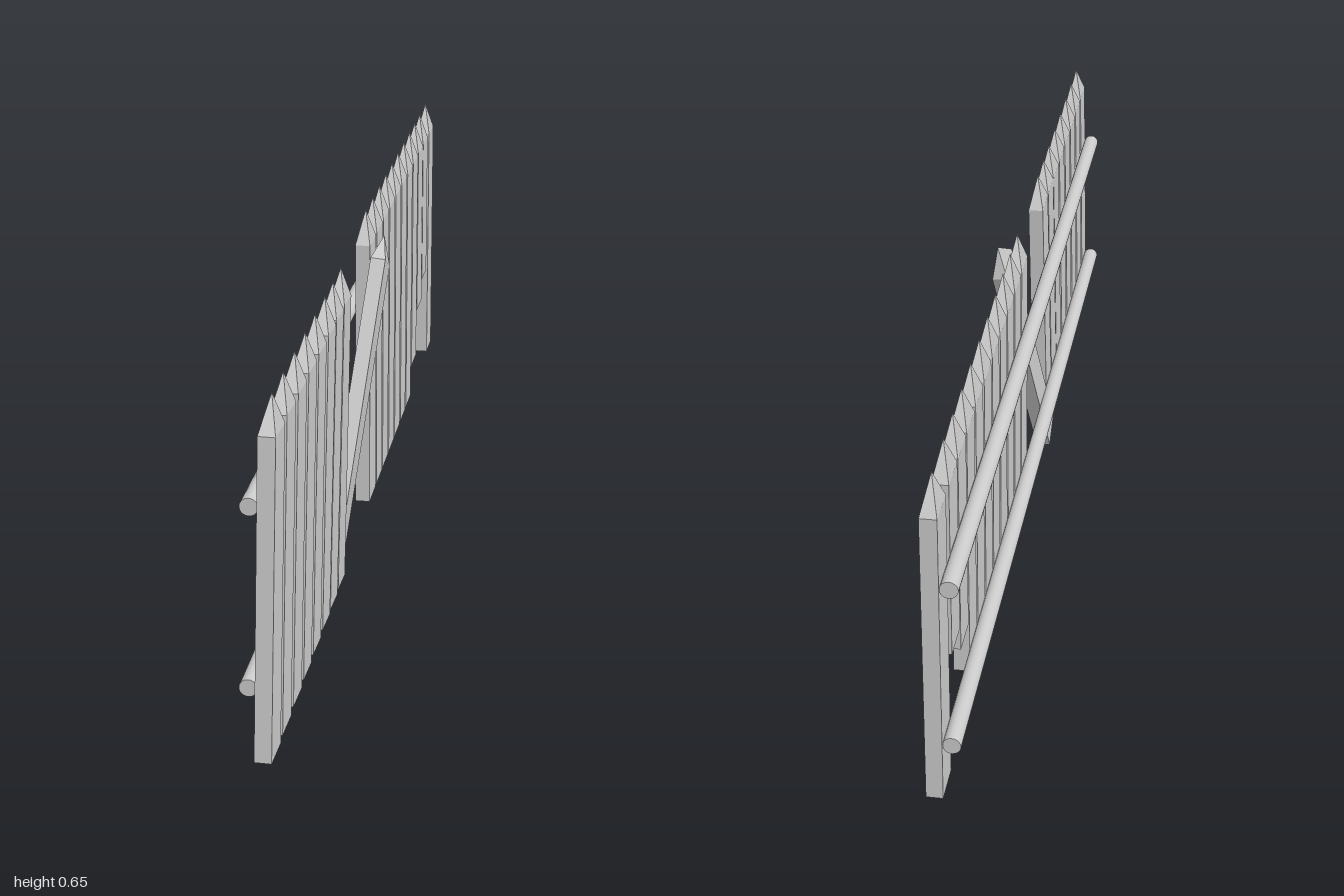
import * as THREE from 'three';

const WIDTH = 0.077, THICK = 0.03;
const flat = new THREE.MeshStandardMaterial({ color: 0xcccccc, flatShading: true });
const smooth = new THREE.MeshStandardMaterial({ color: 0xcccccc });

// Four-sided board with a pyramid tip, its foot at the origin
function picketGeometry(shaft, tip) {
  const r = Math.SQRT1_2;
  const profile = [[0, 0], [r, 0], [r, shaft], [0, shaft + tip]].map(p => new THREE.Vector2(...p));
  const geometry = new THREE.LatheGeometry(profile, 4, Math.PI / 4)
    .scale(THICK, 1, WIDTH).toNonIndexed();
  geometry.computeVertexNormals();
  return geometry;
}

// Stand a picket on its foot, pointing along a direction
function addPicket(parent, name, foot, direction, shaft, tip) {
  const mesh = new THREE.Mesh(picketGeometry(shaft, tip), flat);
  mesh.name = name;
  mesh.position.set(...foot);
  mesh.quaternion.setFromUnitVectors(
    new THREE.Vector3(0, 1, 0), new THREE.Vector3(...direction).normalize());
  parent.add(mesh);
}

// Round rail between two end points
function addRail(parent, name, from, to) {
  const a = new THREE.Vector3(...from), b = new THREE.Vector3(...to);
  const mesh = new THREE.Mesh(
    new THREE.CylinderGeometry(0.016, 0.016, a.distanceTo(b), 20), smooth);
  mesh.name = name;
  mesh.position.copy(a).lerp(b, 0.5);
  mesh.quaternion.setFromUnitVectors(new THREE.Vector3(0, 1, 0), b.sub(a).normalize());
  parent.add(mesh);
}

export function createModel() {
  const fence = new THREE.Group();
  fence.name = 'brokenPicketFence';

  // Upright pickets, some with broken-off feet: [z, foot height]
  const upright = new THREE.Group();
  upright.name = 'uprightPickets';
  const uprights = [
    [-0.057, 0.025], [-0.147, 0.025], [-0.236, 0.025], [-0.325, 0.025],
    [-0.415, 0.025], [-0.505, 0.025], [-0.595, 0.025], [-0.685, 0.095],
    [-0.771, 0.205], [-0.855, 0.255], [-0.959, 0.03],
  ];
  for (const [z, y] of uprights) {
    addPicket(upright, 'uprightPicket', [-0.004, y, z], [0, 1, 0], 0.59 - y, 0.065);
  }
  fence.add(upright);

  // Pickets leaning along the fence
  const leaning = new THREE.Group();
  leaning.name = 'leaningPickets';
  for (const z of [0.96, 0.867, 0.771, 0.676, 0.582, 0.486, 0.403, 0.318]) {
    addPicket(leaning, 'leaningPicket', [-0.006, 0.004, z], [0.008, 0.637, -0.046], 0.574, 0.063);
  }
  fence.add(leaning);

  // Picket that has come loose across the gap
  addPicket(fence, 'loosePicket', [-0.016, 0.022, 0.278], [0.05, 0.54, -0.283], 0.612, 0.055);

  // Rails behind the pickets
  addRail(fence, 'upperRail', [-0.034, 0.447, 0.94], [-0.034, 0.453, -0.99]);
  addRail(fence, 'lowerRail', [-0.034, 0.132, 0.972], [-0.034, 0.138, -0.99]);

  return fence;
}
